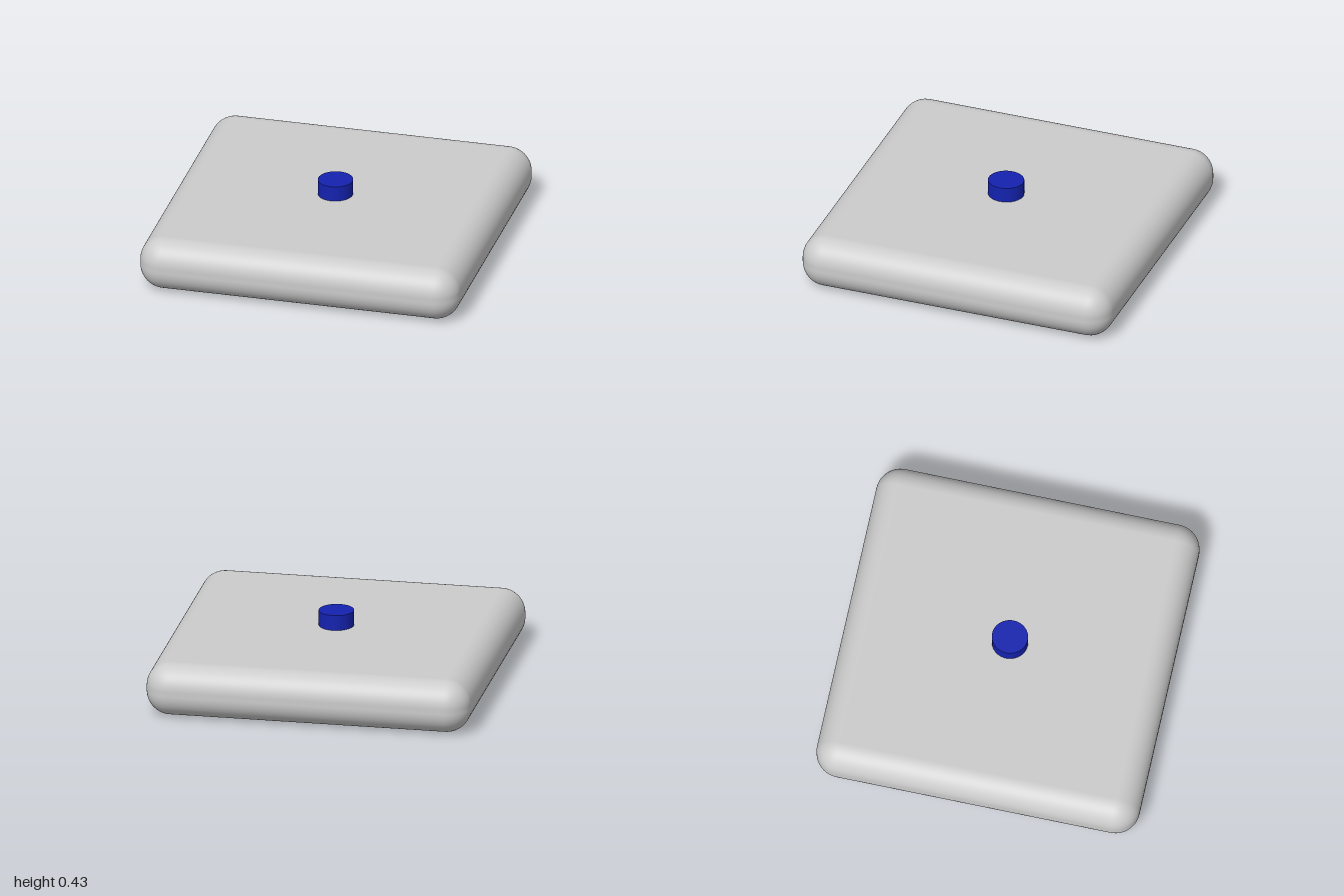
import * as THREE from 'three';
import { RoundedBoxGeometry } from 'three/addons/geometries/RoundedBoxGeometry.js';

export function createModel() {
  const model = new THREE.Group();
  model.name = 'buttonPad';

  // Square slab with fully rounded edges
  const height = 0.33;
  const slab = new THREE.Mesh(
    new RoundedBoxGeometry(2, height, 2, 8, 0.15),
    new THREE.MeshStandardMaterial({ color: 0xcccccc })
  );
  slab.name = 'slab';
  slab.position.y = height / 2;
  model.add(slab);

  // Short round button, sunk slightly into the top
  const top = 0.425, bottom = 0.3;
  const button = new THREE.Mesh(
    new THREE.CylinderGeometry(0.107, 0.107, top - bottom, 48),
    new THREE.MeshStandardMaterial({ color: 0x1422af })
  );
  button.name = 'button';
  button.scale.z = 1.03;
  button.position.set(0, (top + bottom) / 2, 0.012);
  model.add(button);

  return model;
}
